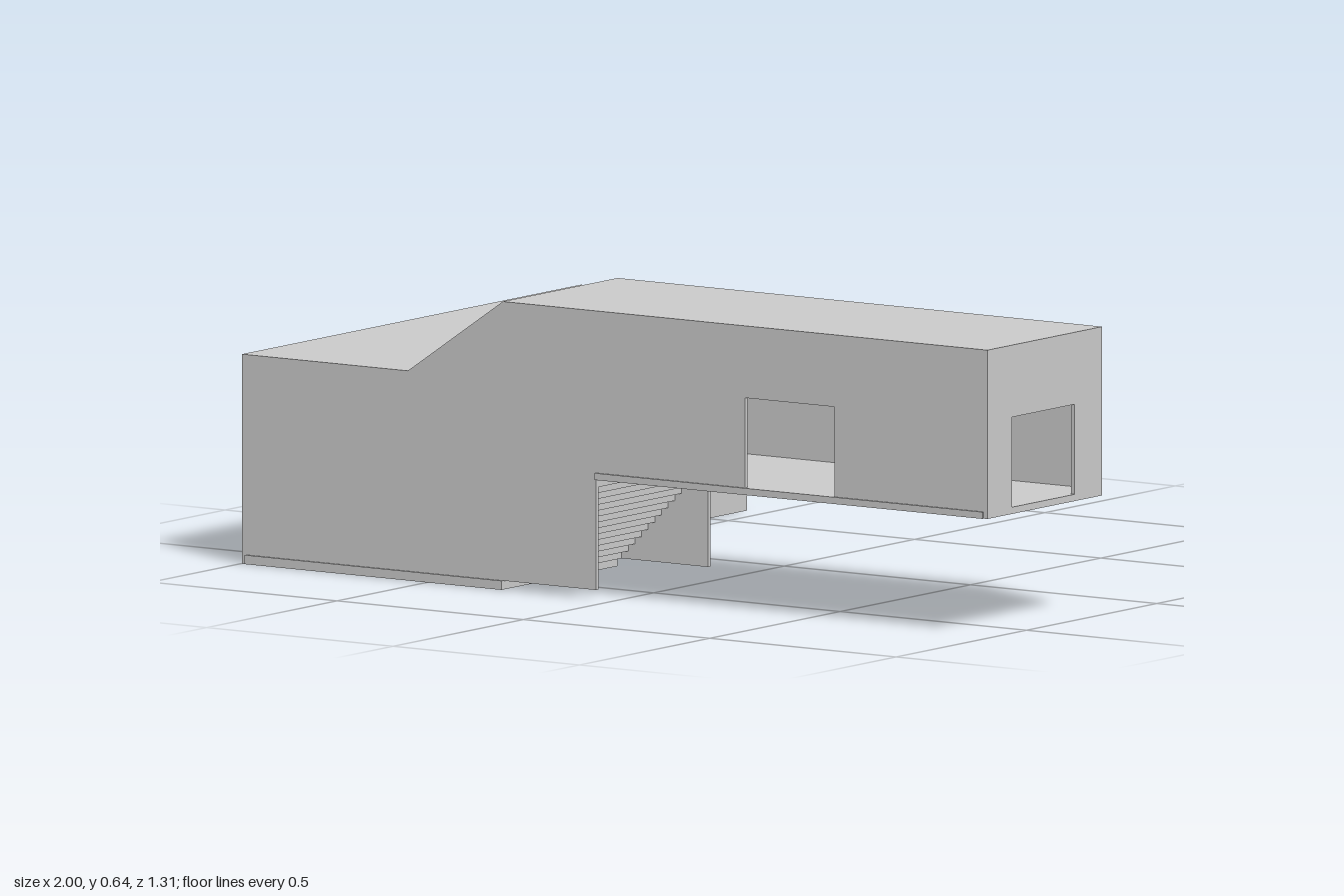
import * as THREE from 'three';

const T = 0.01; // wall thickness

export function createModel() {
  const group = new THREE.Group();
  const mat = new THREE.MeshStandardMaterial({ color: 0xcccccc, flatShading: true });

  const add = (name, geo) => {
    const mesh = new THREE.Mesh(geo, mat);
    mesh.name = name;
    group.add(mesh);
  };

  // Box given by its minimum and maximum on each axis
  const slab = (name, [x0, x1], [y0, y1], [z0, z1]) => {
    const geo = new THREE.BoxGeometry(x1 - x0, y1 - y0, z1 - z0);
    add(name, geo.translate((x0 + x1) / 2, (y0 + y1) / 2, (z0 + z1) / 2));
  };

  const vecs = (pts) => pts.map(([u, v]) => new THREE.Vector2(u, v));
  const rect = (u0, u1, v0, v1) => [[u0, v0], [u1, v0], [u1, v1], [u0, v1]];

  // Extruded panel; axis 'z': outline is (x, y), axis 'x': outline is (z, y)
  const panel = (name, axis, start, outline, holes = [], depth = T) => {
    const shape = new THREE.Shape(vecs(outline));
    holes.forEach((h) => shape.holes.push(new THREE.Path(vecs(h))));
    const geo = new THREE.ExtrudeGeometry(shape, { depth, bevelEnabled: false });
    if (axis === 'x') geo.rotateY(-Math.PI / 2).translate(start + depth, 0, 0);
    else geo.translate(0, 0, start);
    add(name, geo);
  };

  // Floors: lower corridor, foot of the stairs, upper corridor
  slab('lowerFloor', [-0.99, -0.565], [0, 0.02], [-0.655, 0.655]);
  slab('stairFootFloor', [-0.565, -0.3], [0, 0.02], [0.22, 0.655]);
  slab('upperFloor', [-0.05, 0.99], [0.265, 0.28], [0.22, 0.655]);

  // Roofs: flat over the lower corridor, sloping up over the stairs
  slab('lowerRoof', [-0.99, -0.565], [0.45, 0.465], [-0.655, 0.22]);
  panel('upperRoof', 'z', 0.22, [
    [-0.99, 0.45], [-0.55, 0.45], [-0.295, 0.625], [0.99, 0.625],
    [0.99, 0.64], [-0.3, 0.64], [-0.555, 0.465], [-0.99, 0.465],
  ], [], 0.42);

  // Long front wall with a doorway at the upper level
  panel('frontWall', 'z', 0.65 - T, [
    [-0.99, 0.02], [-0.05, 0.02], [-0.05, 0.28],
    [0.35, 0.28], [0.35, 0.48], [0.59, 0.48], [0.59, 0.28],
    [0.99, 0.28], [0.99, 0.64], [-0.3, 0.64], [-0.555, 0.465], [-0.99, 0.465],
  ]);

  // Rear wall of the upper corridor with a small window
  panel('upperBackWall', 'z', 0.21, [
    [-0.565, 0], [-0.3, 0], [-0.3, 0.02], [-0.05, 0.02], [-0.05, 0.265],
    [0.99, 0.265], [0.99, 0.64], [-0.3, 0.64], [-0.555, 0.465], [-0.565, 0.465],
  ], [rect(0.73, 0.86, 0.5, 0.585)]);

  // End wall of the upper corridor
  panel('upperEndWall', 'x', 1 - T, rect(0.21, 0.65, 0.265, 0.64),
    [rect(0.315, 0.555, 0.28, 0.48)]);

  // Lower corridor walls
  panel('lowerOuterWall', 'x', -1, rect(-0.65, 0.65, 0, 0.465),
    [rect(-0.51, -0.275, 0.02, 0.215)]);
  panel('lowerInnerWall', 'x', -0.555 - T, rect(-0.65, 0.21, 0, 0.465),
    [rect(-0.46, -0.275, 0.02, 0.25)]);
  panel('lowerEndWall', 'z', -0.65, [
    [-0.99, 0.02], [-0.905, 0.02], [-0.905, 0.215], [-0.665, 0.215],
    [-0.665, 0.02], [-0.565, 0.02], [-0.565, 0.45], [-0.99, 0.45],
  ]);

  // Frame around the inner doorway
  panel('doorFrame', 'x', -0.555, [
    [-0.48, 0.02], [-0.46, 0.02], [-0.46, 0.25], [-0.275, 0.25],
    [-0.275, 0.02], [-0.255, 0.02], [-0.255, 0.275], [-0.48, 0.275],
  ], [], 0.015);

  // Stairs with a stepped underside
  const steps = 14, run = 0.25 / steps, rise = 0.245 / steps;
  for (let i = 0; i < steps; i++) {
    const x = -0.3 + i * run, y = 0.02 + i * rise;
    slab('stairStep', [x, x + run], [y, y + rise], [0.22, 0.64]);
  }

  return group;
}
